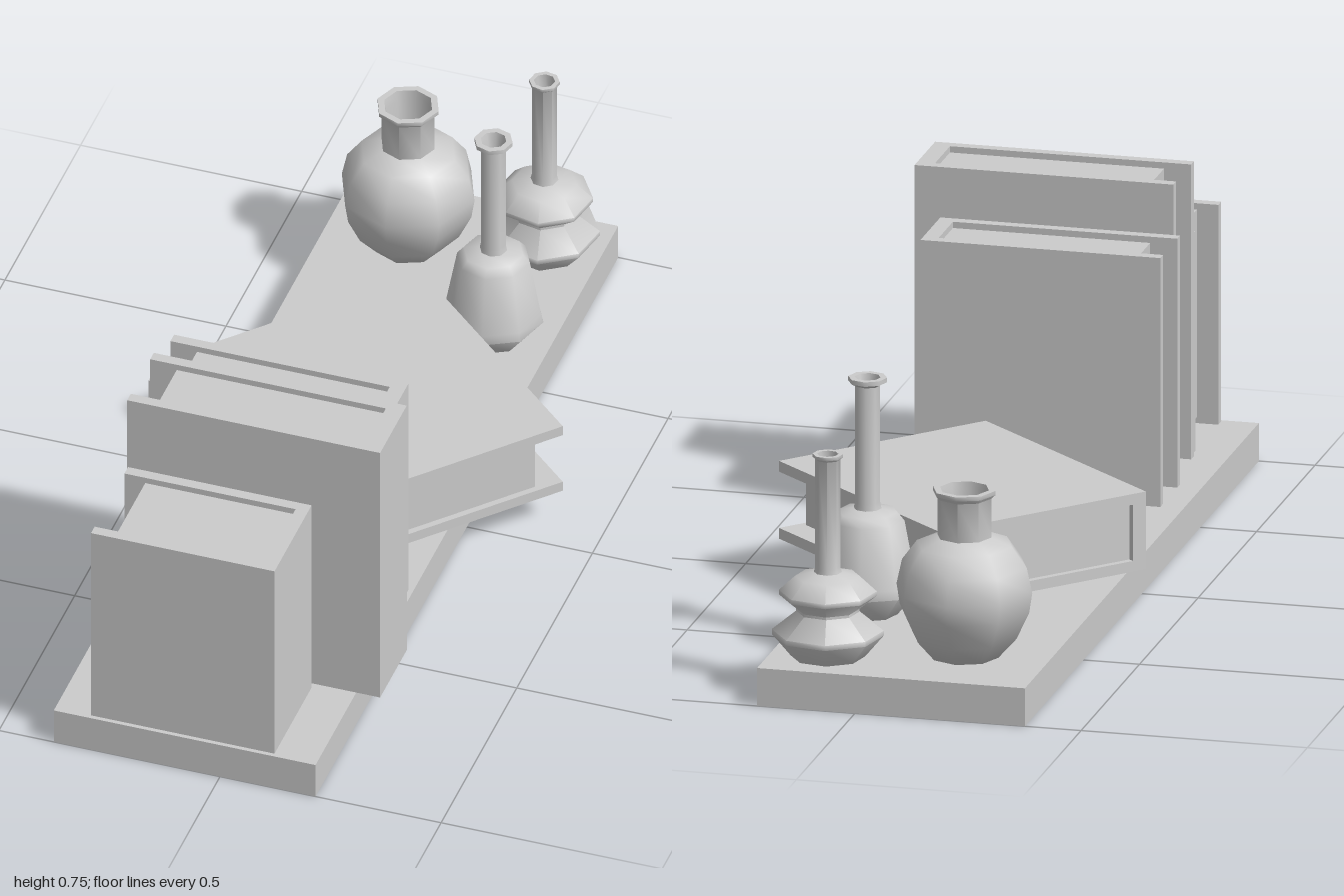
import * as THREE from 'three';
import { toCreasedNormals } from 'three/addons/utils/BufferGeometryUtils.js';

const material = new THREE.MeshStandardMaterial({ color: 0xcccccc });
const vaseMaterial = new THREE.MeshStandardMaterial({ color: 0xcccccc, side: THREE.DoubleSide });
const SHELF_TOP = 0.085;

function addMesh(parent, name, geometry, mat = material) {
  const mesh = new THREE.Mesh(geometry, mat);
  mesh.name = name;
  parent.add(mesh);
  return mesh;
}

// Upright book standing on y = 0, spine towards +x, thickness along z
function makeBook(name, width, height, thick, { spine, foreInset, cover = 0.024, endInset = 0.014 }) {
  const book = new THREE.Group();
  book.name = name;
  const w = width / 2, t = thick / 2, inner = t - cover;

  // U-shaped cover: two boards joined by the spine
  const outline = new THREE.Shape([
    [-w, -t], [w, -t], [w, t], [-w, t],
    [-w, inner], [w - spine, inner], [w - spine, -inner], [-w, -inner],
  ].map(([x, y]) => new THREE.Vector2(x, y)));
  const coverGeometry = new THREE.ExtrudeGeometry(outline, { depth: height, bevelEnabled: false });
  coverGeometry.rotateX(-Math.PI / 2);
  addMesh(book, 'bookCover', coverGeometry);

  // Page block, set back from the cover on three sides
  const pageWidth = width - spine - foreInset;
  const pages = addMesh(book, 'bookPages',
    new THREE.BoxGeometry(pageWidth, height - 2 * endInset, inner * 2));
  pages.position.set(-w + foreInset + pageWidth / 2, height / 2, 0);
  return book;
}

// Eight-sided vase turned from a profile of [radius, height] pairs
function makeVase(name, x, z, turn, profile) {
  const points = profile.map(([r, y]) => new THREE.Vector2(r, y));
  const geometry = toCreasedNormals(new THREE.LatheGeometry(points, 8), 0.9);
  const group = new THREE.Group();
  group.name = name;
  addMesh(group, 'vaseBody', geometry, vaseMaterial);
  group.position.set(x, SHELF_TOP, z);
  group.rotation.y = turn;
  return group;
}

export function createModel() {
  const model = new THREE.Group();
  model.name = 'decoratedShelf';

  // Shelf board
  const shelf = addMesh(model, 'shelfBoard', new THREE.BoxGeometry(0.592, SHELF_TOP, 2));
  shelf.position.set(-0.08, SHELF_TOP / 2, 0);

  // Row of standing books
  const standing = [
    { x: -0.0875, z: 0.868, w: 0.415, h: 0.492, t: 0.245, spine: 0.028, foreInset: 0.047 },
    { x: -0.016, z: 0.643, w: 0.572, h: 0.66, t: 0.176, spine: 0.039, foreInset: 0.06 },
    { x: -0.06, z: 0.439, w: 0.53, h: 0.557, t: 0.17, spine: 0.034, foreInset: 0.06 },
  ];
  standing.forEach((b, i) => {
    const book = makeBook(`standingBook${i + 1}`, b.w, b.h, b.t, b);
    book.position.set(b.x, SHELF_TOP, b.z);
    model.add(book);
  });

  // Book lying flat, turned on the shelf
  const lyingHeight = 0.62, lyingThick = 0.174;
  const lying = makeBook('lyingBook', 0.531, lyingHeight, lyingThick, { spine: 0.033, foreInset: 0.06 });
  const spineDir = new THREE.Vector3(-0.669, 0, 0.744).normalize();
  const up = new THREE.Vector3(0, 1, 0);
  const along = new THREE.Vector3().crossVectors(up, spineDir);
  lying.quaternion.setFromRotationMatrix(new THREE.Matrix4().makeBasis(spineDir, along, up));
  lying.position.set(-0.0025, SHELF_TOP + 0.002 + lyingThick / 2, -0.09)
    .addScaledVector(along, -lyingHeight / 2);
  model.add(lying);

  // Round vase with a short wide neck
  model.add(makeVase('roundVase', -0.19, -0.798, 0, [
    [0, 0], [0.075, 0], [0.115, 0.045], [0.143, 0.105], [0.15, 0.15], [0.138, 0.205],
    [0.105, 0.25], [0.06, 0.268], [0.06, 0.355], [0.069, 0.364], [0.069, 0.373],
    [0.054, 0.373], [0.05, 0.35], [0.05, 0.22], [0, 0.22],
  ]));

  // Double-bulbed vase with a thin neck
  model.add(makeVase('doubleBulbVase', 0.092, -0.875, 0.2, [
    [0, 0], [0.08, 0], [0.12, 0.047], [0.12, 0.058], [0.068, 0.1], [0.068, 0.106],
    [0.105, 0.136], [0.105, 0.146], [0.07, 0.178], [0.03, 0.188], [0.027, 0.2], [0.027, 0.44],
    [0.033, 0.445], [0.033, 0.452], [0.023, 0.452], [0.02, 0.4], [0, 0.4],
  ]));

  // Flask vase with a tapered body and thin neck
  model.add(makeVase('flaskVase', 0.088, -0.55, 0.1, [
    [0, 0], [0.065, 0], [0.11, 0.055], [0.105, 0.075], [0.08, 0.21], [0.065, 0.228],
    [0.03, 0.235], [0.027, 0.25], [0.027, 0.51], [0.042, 0.518], [0.042, 0.528],
    [0.028, 0.528], [0.021, 0.5], [0.021, 0.46], [0, 0.46],
  ]));

  return model;
}
